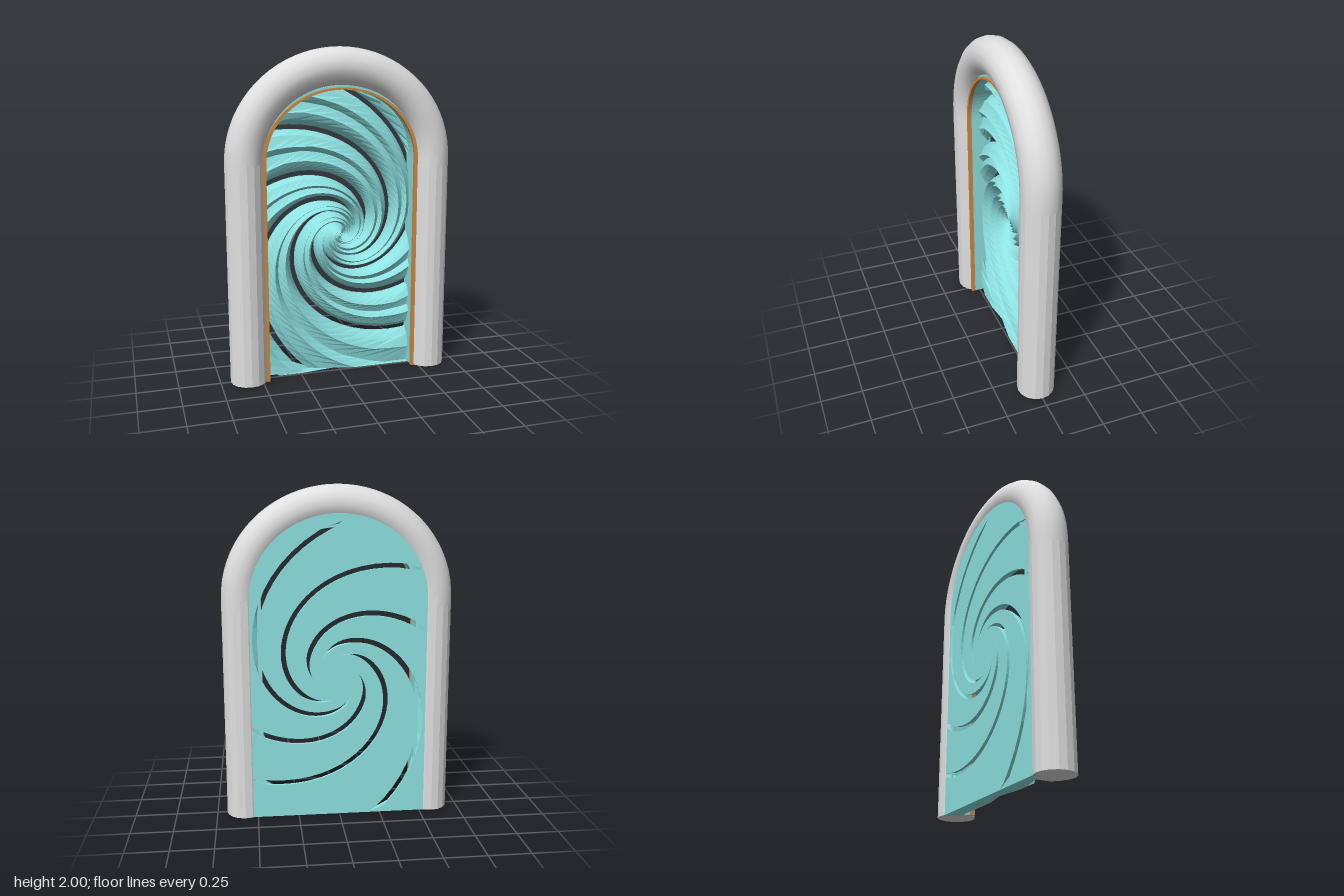
import * as THREE from 'three';

const SPRING = 1.34;            // height where the arch begins
const HUB = [0.02, 0.87];       // centre of the swirl
// spiral slots: [angle in degrees at radius 1, growth per radian]
const SLOTS = [[24, 0.538], [102, 0.472], [152, 0.479], [206, 0.541], [266, 0.533], [333, 0.493]];
// ridge profile across one swirl arm: [fraction, front z]
const PROFILE = [[0, -0.08], [0.1, -0.045], [0.33, -0.008], [0.46, -0.042], [0.7, -0.012], [0.88, -0.04], [1, -0.082]];
const BACK_Z = -0.1;

const slotAngle = (r, k) => {
  const [deg, growth] = SLOTS[k % SLOTS.length];
  const turn = k >= SLOTS.length ? Math.PI * 2 : 0;
  return THREE.MathUtils.degToRad(deg) + turn + Math.log(r) / growth;
};
const polar = (r, a) => [HUB[0] + r * Math.cos(a), HUB[1] + r * Math.sin(a)];

// keeps a point inside a round-topped doorway
function clampToArch([x, y], halfWidth, rise) {
  y = Math.max(y, 0);
  if (y < SPRING) return [THREE.MathUtils.clamp(x, -halfWidth, halfWidth), y];
  const d = Math.hypot(x / halfWidth, (y - SPRING) / rise);
  return d > 1 ? [x / d, SPRING + (y - SPRING) / d] : [x, y];
}

// half the angular width of a slot; closed at the hub and under the frame
function slotHalfAngle(r, angle) {
  const p = polar(r, angle), q = clampToArch(p, 0.5, 0.45);
  if (Math.hypot(p[0] - q[0], p[1] - q[1]) > 0.001) return 0;
  return THREE.MathUtils.smoothstep(r, 0.13, 0.24) * 0.016 / (0.47 * r);
}

// one swirl arm: ridged front, flat back, side walls along the slots
function swirlArm(k) {
  const steps = 90, n = PROFILE.length, loop = 2 * n, r0 = 0.01;
  const pos = [], index = [];
  for (let s = 0; s <= steps; s++) {
    const r = s === 0 ? 0.0001 : r0 * Math.pow(1.08 / r0, s / steps);
    const a0 = slotAngle(Math.max(r, r0), k), a1 = slotAngle(Math.max(r, r0), k + 1);
    const a = a0 + slotHalfAngle(r, a0), b = a1 - slotHalfAngle(r, a1);
    const depth = Math.min(1, 0.3 + r / 0.25);
    for (let i = 0; i < loop; i++) {
      const front = i < n;
      const [t, z] = PROFILE[front ? i : loop - 1 - i];
      const p = polar(r, a + (b - a) * t);
      const [x, y] = front ? clampToArch(p, 0.48, 0.43) : clampToArch(p, 0.555, 0.515);
      pos.push(x, y, front ? -0.045 + (z + 0.045) * depth : BACK_Z);
    }
  }
  for (let s = 0; s < steps; s++) {
    for (let i = 0; i < loop; i++) {
      const j = (i + 1) % loop, u = s * loop, v = u + loop;
      index.push(u + i, v + i, v + j, u + i, v + j, u + j);
    }
  }
  // closing wall at the outer end
  const end = steps * loop;
  for (let i = 0; i < n - 1; i++) {
    const back = end + loop - 1 - i;
    index.push(end + i, back, back - 1, end + i, back - 1, end + i + 1);
  }
  const g = new THREE.BufferGeometry();
  g.setAttribute('position', new THREE.Float32BufferAttribute(pos, 3));
  g.setIndex(index);
  return faceted(g);
}

function faceted(g) {
  const flat = g.toNonIndexed();
  flat.computeVertexNormals();
  return flat;
}

// horseshoe strip lining the inside of the doorway
function liner(outer, inner, z0, z1) {
  const s = new THREE.Shape();
  s.moveTo(-outer[0], 0);
  s.lineTo(-outer[0], SPRING);
  s.absellipse(0, SPRING, outer[0], outer[1], Math.PI, 0, true);
  s.lineTo(outer[0], 0);
  s.lineTo(inner[0], 0);
  s.lineTo(inner[0], SPRING);
  s.absellipse(0, SPRING, inner[0], inner[1], 0, Math.PI, false);
  s.lineTo(-inner[0], 0);
  const g = new THREE.ExtrudeGeometry(s, { depth: z1 - z0, bevelEnabled: false, curveSegments: 24 });
  return g.translate(0, 0, z0);
}

export function createModel() {
  const group = new THREE.Group();
  group.name = 'swirlingArchway';
  const material = (name, color) => {
    const m = new THREE.MeshStandardMaterial({ color });
    m.name = name;
    return m;
  };
  const stone = material('grey stone', 0xe0e0e0);
  const teal = material('teal swirl', 0x8ee2e2);
  const copper = material('orange trim', 0xd08a45);
  const add = (name, geometry, mat) => {
    const mesh = new THREE.Mesh(geometry, mat);
    mesh.name = name;
    group.add(mesh);
  };

  // round frame: two legs and the arch, whose ends run a little into the legs
  const R = 0.113, legX = 0.577, rise = 2 - R - SPRING;
  for (const [name, side] of [['leftLeg', 1], ['rightLeg', -1]]) {
    const leg = new THREE.CylinderGeometry(R, R, SPRING, 16);
    add(name, faceted(leg.translate(side * legX, SPRING / 2, 0)), stone);
  }
  const path = [new THREE.Vector3(legX, SPRING - 0.05, 0)];
  for (let i = 0; i <= 24; i++) {
    const a = Math.PI * i / 24;
    path.push(new THREE.Vector3(legX * Math.cos(a), SPRING + rise * Math.sin(a), 0));
  }
  path.push(new THREE.Vector3(-legX, SPRING - 0.05, 0));
  add('arch', new THREE.TubeGeometry(new THREE.CatmullRomCurve3(path), 40, R, 16), stone);

  // swirling panel
  SLOTS.forEach((_, k) => add('swirlArm' + (k + 1), swirlArm(k), teal));

  // teal lining between panel and frame, with a narrow orange edge in front
  add('innerLiner', liner([0.482, 0.44], [0.459, 0.417], -0.09, 0.045), teal);
  add('edgeTrim', liner([0.476, 0.427], [0.456, 0.414], 0.036, 0.06), copper);

  return group;
}
